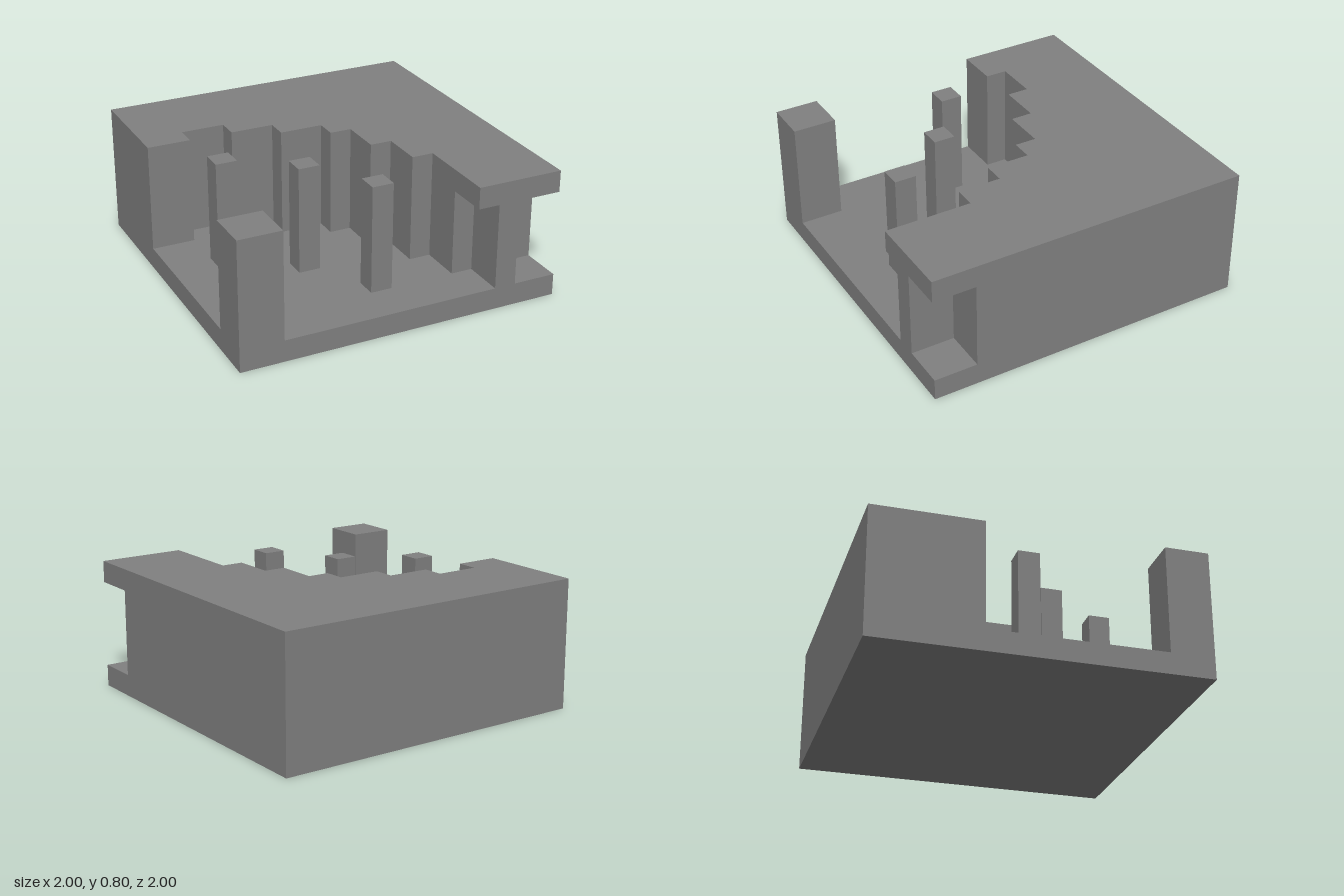
import * as THREE from 'three';

// Everything sits on a grid of 15 x 15 cells, six layers high.
const CELL = 2 / 15;
const at = (i) => -1 + i * CELL;

export function createModel() {
  const model = new THREE.Group();
  const stone = new THREE.MeshStandardMaterial({ color: 0x808080 });
  stone.name = 'grey stone';

  const add = (name, geometry) => {
    const mesh = new THREE.Mesh(geometry, stone);
    mesh.name = name;
    model.add(mesh);
    return mesh;
  };

  // Block covering cells x0..x1, z0..z1 between layers y0 and y1
  const block = (name, x0, x1, z0, z1, y0, y1) => {
    const geometry = new THREE.BoxGeometry((x1 - x0) * CELL, (y1 - y0) * CELL, (z1 - z0) * CELL);
    add(name, geometry).position.set(at((x0 + x1) / 2), ((y0 + y1) / 2) * CELL, at((z0 + z1) / 2));
  };

  // Plan outline in (x, z) cells raised between layers y0 and y1
  const slab = (name, plan, y0, y1) => {
    const shape = new THREE.Shape(plan.map(([x, z]) => new THREE.Vector2(at(x), at(z))));
    const geometry = new THREE.ExtrudeGeometry(shape, { depth: (y1 - y0) * CELL, bevelEnabled: false });
    geometry.rotateX(Math.PI / 2).translate(0, y1 * CELL, 0);
    add(name, geometry);
  };

  // Back edge and stepped inner edge shared by wall and roof
  const steps = [
    [15, 0], [0, 0], [0, 5], [2, 5], [2, 4], [4, 4], [4, 5], [6, 5], [6, 6], [8, 6],
    [8, 7], [9, 7], [9, 9], [10, 9], [10, 11], [11, 11],
  ];
  // Wall end is recessed on both sides of a narrow pier
  const wallEnd = [[11, 13], [12, 13], [12, 15], [13, 15], [13, 13], [15, 13]];
  const roofEnd = [[11, 15], [15, 15]];

  block('floor', 0, 15, 0, 15, 0, 1);
  slab('steppedWall', [...steps, ...wallEnd], 1, 5);
  slab('roof', [...steps, ...roofEnd], 5, 6);
  block('cornerTower', 0, 2, 13, 15, 1, 6);

  // Free-standing pillars
  [[2, 7], [5, 9], [7, 12]].forEach(([x, z], i) => block(`pillar${i + 1}`, x, x + 1, z, z + 1, 1, 6));

  return model;
}
